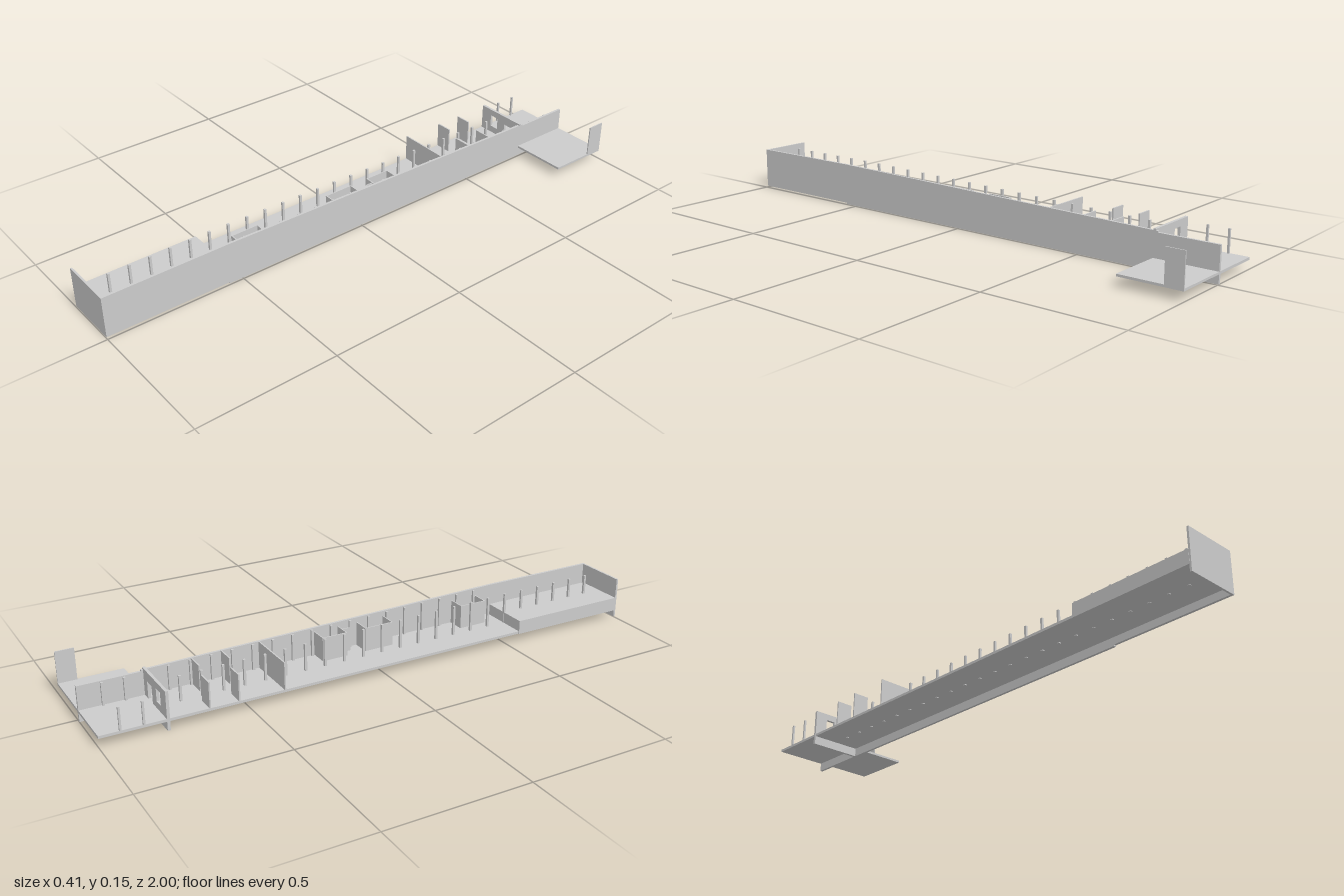
import * as THREE from 'three';

const material = new THREE.MeshStandardMaterial({ color: 0xcccccc, flatShading: true });
const FLOOR = 0.04;

// Height of the sloping roof line at a given z
function roof(z) {
  if (z > 0.55) return 0.153;
  if (z < -0.79) return 0.123;
  return THREE.MathUtils.mapLinear(z, -0.79, 0.55, 0.128, 0.153);
}

export function createModel() {
  const model = new THREE.Group();
  model.name = 'longHall';

  const add = (name, geometry) => {
    const mesh = new THREE.Mesh(geometry, material);
    mesh.name = name;
    model.add(mesh);
    return mesh;
  };
  // Box given by its lower and upper limits
  const box = (name, x0, x1, y0, y1, z0, z1) => {
    const mesh = add(name, new THREE.BoxGeometry(x1 - x0, y1 - y0, z1 - z0));
    mesh.position.set((x0 + x1) / 2, (y0 + y1) / 2, (z0 + z1) / 2);
    return mesh;
  };
  const path = (points, Type = THREE.Shape) => new Type(points.map(([x, y]) => new THREE.Vector2(x, y)));

  // Floor, raised stage and end wall
  box('floor', -0.204, -0.01, 0.031, FLOOR, -1, 0.995);
  box('stage', -0.206, -0.022, 0.03, 0.08, 0.55, 0.994);
  box('endWall', -0.205, -0.006, 0.005, 0.153, 0.993, 1);

  // Long wall, its top following the roof line
  const profile = path([
    [-0.993, 0.005], [-0.55, 0.005], [-0.55, 0], [1, 0], [1, roof(-1)],
    [0.79, roof(-1)], [0.79, roof(-0.79)], [-0.55, 0.153], [-0.993, 0.153],
  ]);
  const wall = new THREE.ExtrudeGeometry(profile, { depth: 0.009, bevelEnabled: false });
  add('longWall', wall.rotateY(Math.PI / 2).translate(-0.015, 0, 0));

  // Side deck with its upright panel
  box('deck', -0.006, 0.205, 0.032, FLOOR, -1, -0.775);
  box('deckPanel', 0.201, 0.205, FLOOR, 0.153, -1, -0.935);

  // Cross wall with a doorway and a window
  const cross = path([
    [-0.205, 0], [-0.006, 0], [-0.006, 0.134], [-0.205, 0.134],
  ]);
  cross.holes.push(
    path([[-0.085, FLOOR], [-0.085, 0.1], [-0.045, 0.1], [-0.045, FLOOR]], THREE.Path),
    path([[-0.158, 0.065], [-0.158, 0.11], [-0.122, 0.11], [-0.122, 0.065]], THREE.Path),
  );
  add('crossWall', new THREE.ExtrudeGeometry(cross, { depth: 0.01, bevelEnabled: false }))
    .position.z = -0.783;

  // Partitions across the hall
  const partitions = [
    [-0.205, -0.145, -0.64], [-0.205, -0.145, -0.54], [-0.205, -0.015, -0.38],
    [-0.08, -0.015, -0.62], [-0.08, -0.015, -0.515],
  ];
  for (const [x0, x1, z] of partitions) {
    box('partition', x0, x1, FLOOR, roof(z), z - 0.0025, z + 0.0025);
  }

  // Open-topped booths against the long wall
  for (const [z0, z1] of [[-0.175, -0.08], [-0.01, 0.1], [0.385, 0.49]]) {
    const top = 0.125;
    box('boothFront', -0.077, -0.073, FLOOR, top, z0, z1);
    box('boothSide', -0.073, -0.015, FLOOR, top, z0, z0 + 0.004);
    box('boothSide', -0.073, -0.015, FLOOR, top, z1 - 0.004, z1);
  }
  box('boothScreen', -0.045, -0.041, FLOOR, 0.125, -0.08, -0.05);

  // Row of posts down the middle
  for (let i = 0; i < 23; i++) {
    const z = 0.92 - i * 0.0736;
    box('post', -0.114, -0.106, 0.028, roof(z) - 0.002, z - 0.004, z + 0.004);
  }

  // Pilasters on the inner face of the long wall
  for (let i = 0; i < 20; i++) {
    const z = 0.478 - i * 0.0736;
    box('pilaster', -0.023, -0.015, FLOOR, roof(z) - 0.004, z - 0.004, z + 0.004);
  }

  // Two short posts at the open edge
  for (const z of [-0.93, -0.855]) {
    box('edgePost', -0.205, -0.198, FLOOR, 0.12, z - 0.0035, z + 0.0035);
  }

  return model;
}
